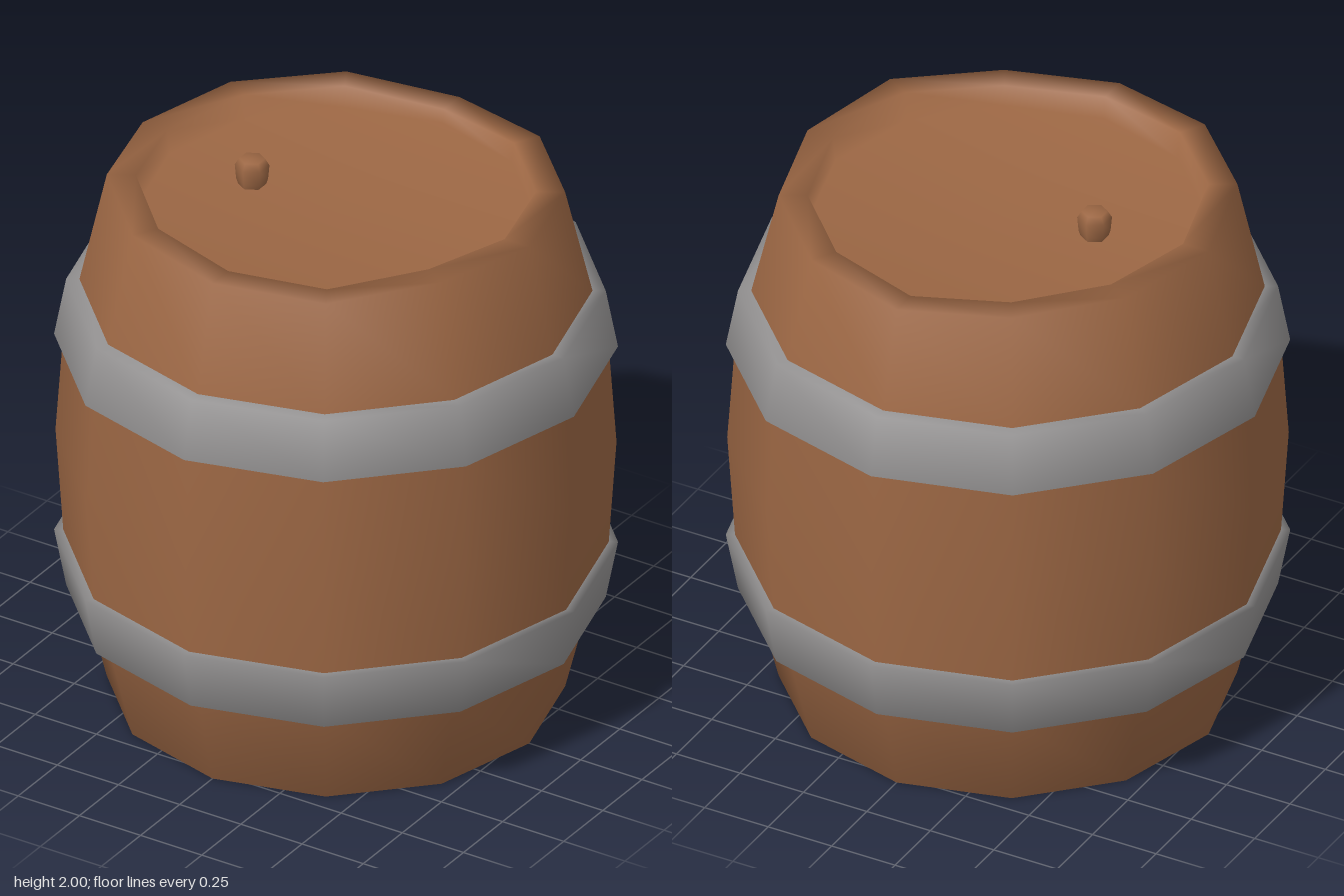
import * as THREE from 'three';

const SIDES = 12;

// Smooth lathe from [radius, height] pairs
function lathe(points, sides, material, name) {
  const profile = points.map(([r, y]) => new THREE.Vector2(r, y));
  const mesh = new THREE.Mesh(new THREE.LatheGeometry(profile, sides), material);
  mesh.name = name;
  return mesh;
}

export function createModel() {
  const wood = new THREE.MeshStandardMaterial({ color: 0x9c6744 });
  wood.name = 'brown wood';
  const metal = new THREE.MeshStandardMaterial({ color: 0x969494 });
  metal.name = 'grey metal';

  const barrel = new THREE.Group();
  barrel.name = 'barrel';

  // Staves with recessed bottom and lid; small ledges sit inside the hoops
  const body = lathe([
    [0, 0.1], [0.68, 0.1], [0.69, 0], [0.79, 0],
    [0.88, 0.363], [0.895, 0.363], [0.952, 0.577], [0.94, 0.577],
    [0.967, 0.98],
    [0.94, 1.363], [0.952, 1.363], [0.9, 1.577], [0.885, 1.577],
    [0.79, 1.98], [0.69, 1.98], [0.68, 1.89], [0, 1.89],
  ], SIDES, wood, 'body');

  // Uneven top rim, one height per stave corner
  const rim = [1.975, 1.965, 2, 1.98, 1.97, 1.96, 1.94, 1.97, 1.98, 1.98, 2, 1.99];
  const position = body.geometry.attributes.position;
  const rowLength = position.count / (SIDES + 1);
  for (let i = 0; i < position.count; i++) {
    if (position.getY(i) > 1.95) position.setY(i, rim[Math.floor(i / rowLength) % SIDES]);
  }
  barrel.add(body);

  // Metal hoops, flaring towards the middle of the barrel
  barrel.add(lathe([[0.86, 0.36], [0.93, 0.36], [0.972, 0.58], [0.92, 0.58]], SIDES, metal, 'lowerHoop'));
  barrel.add(lathe([[0.92, 1.36], [0.972, 1.36], [0.93, 1.58], [0.86, 1.58]], SIDES, metal, 'upperHoop'));

  // Stopper in the lid
  const stopper = lathe(
    [[0.045, 1.88], [0.055, 1.91], [0.06, 1.965], [0.045, 1.99], [0, 1.99]], 6, wood, 'stopper');
  stopper.position.set(-0.33, 0, 0.02);
  barrel.add(stopper);

  return barrel;
}
